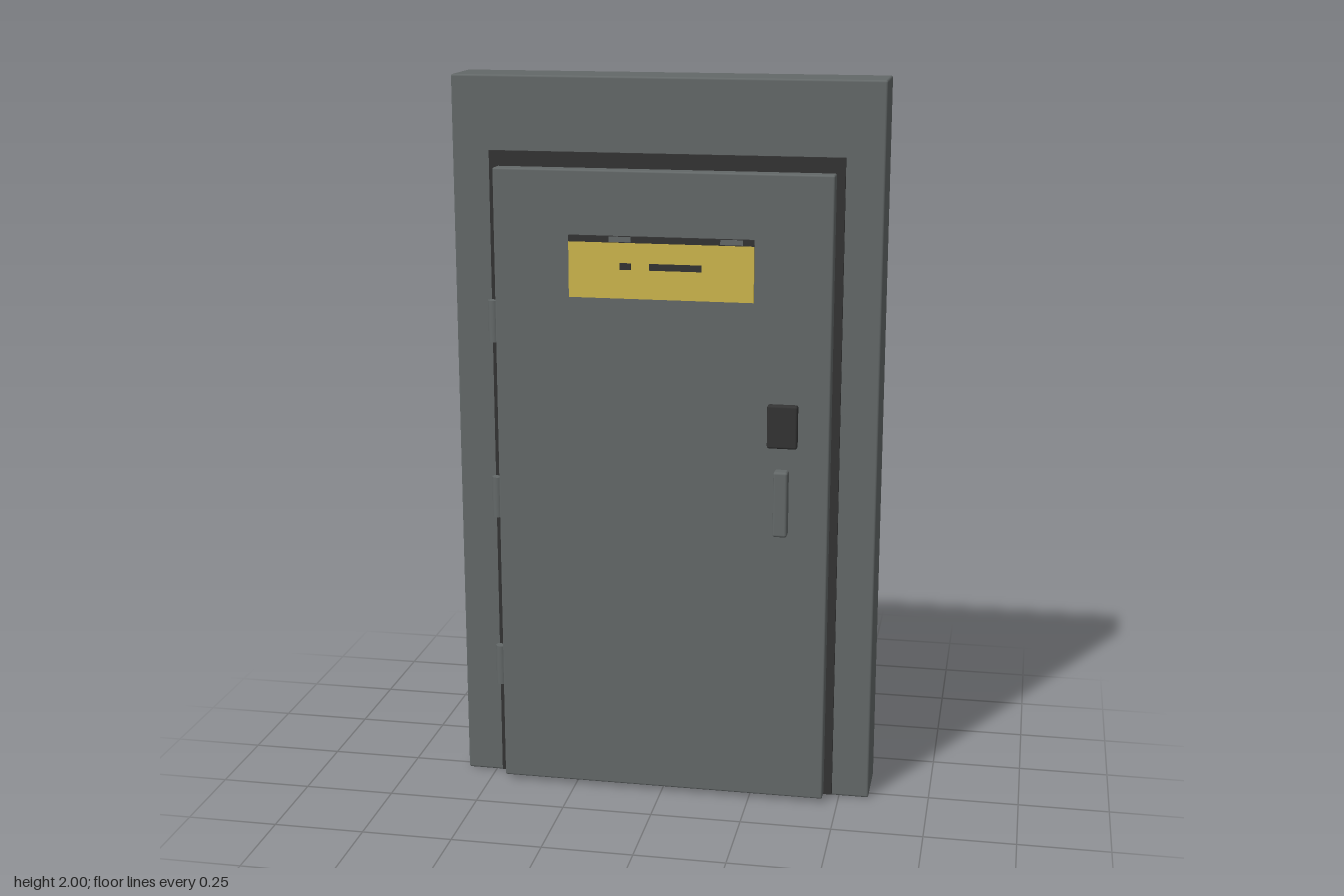
import * as THREE from 'three';
import { RoundedBoxGeometry } from 'three/addons/geometries/RoundedBoxGeometry.js';

const material = (name, color) => {
  const m = new THREE.MeshStandardMaterial({ color });
  m.name = name;
  return m;
};

export function createModel() {
  const group = new THREE.Group();
  group.name = 'securityDoor';

  const steel = material('grey steel', 0x636868);
  const dark = material('dark grey', 0x333333);
  const yellow = material('sign yellow', 0xcdb64c);

  // Box given by its extents on each axis, with an optional softened edge
  const box = (name, mat, [x0, x1], [y0, y1], [z0, z1], bevel = 0) => {
    const size = [x1 - x0, y1 - y0, z1 - z0];
    const geometry = bevel
      ? new RoundedBoxGeometry(...size, 2, bevel)
      : new THREE.BoxGeometry(...size);
    const mesh = new THREE.Mesh(geometry, mat);
    mesh.name = name;
    mesh.position.set((x0 + x1) / 2, (y0 + y1) / 2, (z0 + z1) / 2);
    group.add(mesh);
    return mesh;
  };

  // Surround, with the dark recess showing on both faces
  box('frame', steel, [-0.583, 0.583], [0, 2], [-0.132, 0.033], 0.006);
  box('recess', dark, [-0.48, 0.48], [0.005, 1.8], [-0.139, 0.041]);

  // Door leaf
  box('doorLeaf', steel, [-0.458, 0.458], [0.012, 1.76], [0.043, 0.091], 0.005);

  // Sign plate with a dark top band broken by two grey tabs
  box('signPlate', yellow, [-0.25, 0.25], [1.42, 1.57], [0.091, 0.1]);
  box('signBand', dark, [-0.25, 0.25], [1.57, 1.587], [0.091, 0.099]);
  for (const [x0, x1] of [[-0.14, -0.08], [0.16, 0.22]]) {
    box('signTab', steel, [x0, x1], [1.572, 1.586], [0.092, 0.1]);
  }
  // Plain dark marks on the sign
  for (const [x0, x1] of [[-0.11, -0.08], [-0.03, 0.11]]) {
    box('signMark', dark, [x0, x1], [1.498, 1.516], [0.099, 0.101]);
  }

  // Lock pad and pull handle
  box('lockPad', dark, [0.291, 0.373], [1.028, 1.147], [0.089, 0.113], 0.006);
  box('handle', steel, [0.313, 0.352], [0.788, 0.97], [0.1, 0.138], 0.007);

  // Hinge barrels
  for (const y of [0.337, 0.837, 1.337]) {
    const hinge = new THREE.Mesh(new THREE.CylinderGeometry(0.016, 0.016, 0.115, 16), steel);
    hinge.name = 'hinge';
    hinge.position.set(-0.472, y, 0.051);
    group.add(hinge);
  }

  return group;
}
